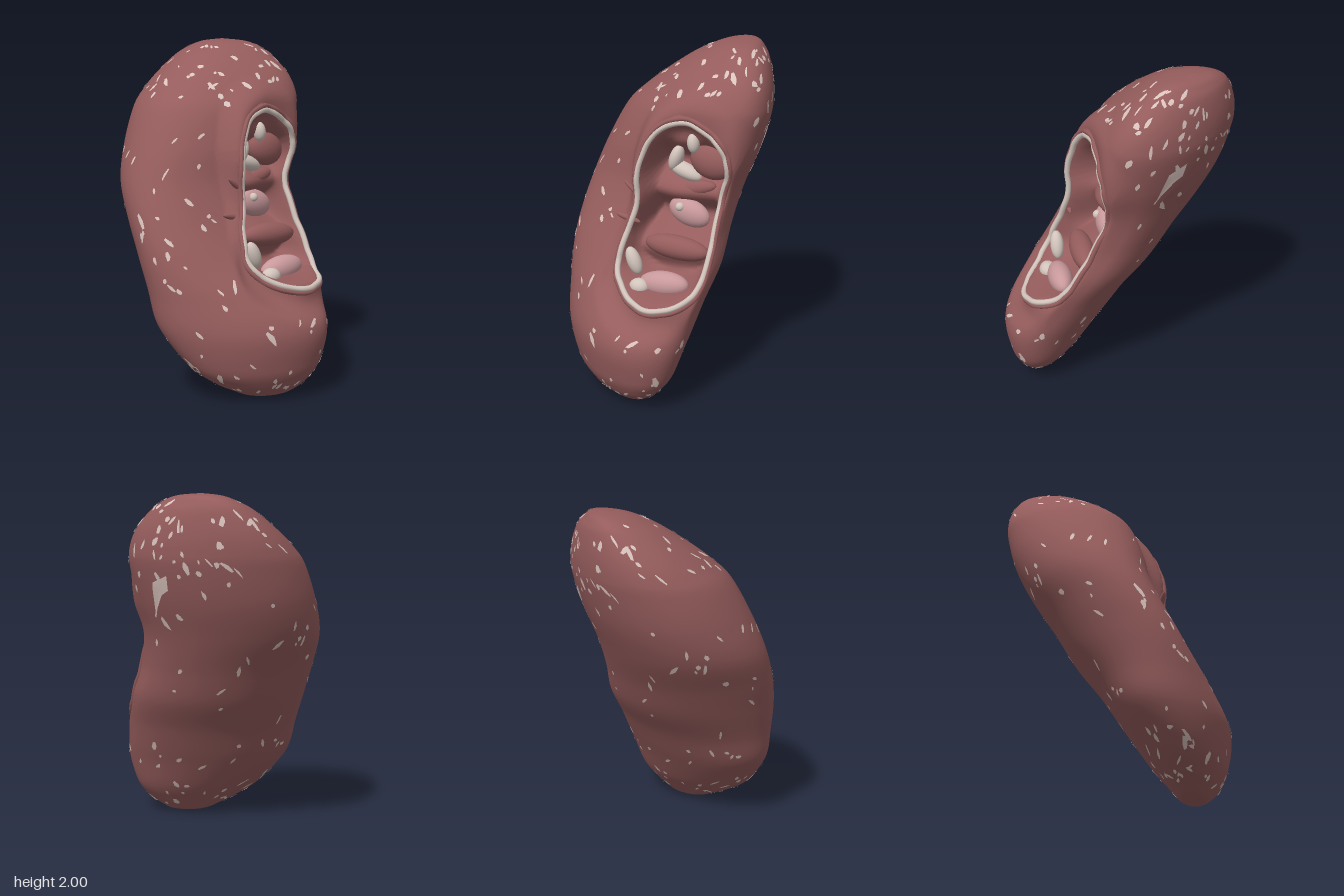
import * as THREE from 'three';

const V = (x, y, z) => new THREE.Vector3(x, y, z);
const mat = (color, side = THREE.FrontSide) => new THREE.MeshStandardMaterial({ color, side, roughness: 0.8 });
const FLESH = mat(0x955c5c), CREAM = mat(0xd2c4bc), PINK = mat(0xc9999c);
const PATCH = mat(0xd9c3bd, THREE.DoubleSide);
const smooth = THREE.MathUtils.smoothstep, lerp = THREE.MathUtils.lerp;

// Horizontal cross-sections: y, x min, x max, z min, z max, skew
const SECTIONS = [
  [0, -.04, -.04, .42, .42, .45], [.015, -.15, .07, .34, .5, .45],
  [.05, -.23, .13, .29, .555, .45], [.1, -.325, .19, .23, .6, .45],
  [.2, -.44, .265, .12, .645, .45], [.4, -.54, .33, -.05, .668, .43],
  [.6, -.565, .375, -.17, .56, .35], [.8, -.58, .42, -.31, .4, .25],
  [1, -.57, .42, -.43, .27, .2], [1.2, -.53, .45, -.56, .2, .2],
  [1.4, -.45, .52, -.64, .19, .2], [1.6, -.345, .575, -.675, .165, .22],
  [1.7, -.25, .58, -.675, .13, .25], [1.8, -.125, .56, -.65, .06, .28],
  [1.9, .02, .515, -.6, -.05, .3], [1.95, .12, .47, -.555, -.12, .3],
  [1.985, .215, .42, -.48, -.22, .3], [2, .33, .33, -.36, -.36, .3]];
const spline = (a, b, c) => new THREE.CatmullRomCurve3(
  SECTIONS.map(s => V(s[a], s[b], s[c])), false, 'catmullrom', 0.5);
const curveX = spline(1, 2, 0), curveZ = spline(3, 4, 5);

// Edge of the opening, counter-clockwise from the top
const rimCurve = new THREE.CatmullRomCurve3([
  V(.18, 1.62, .17), V(.02, 1.55, .2), V(-.07, 1.35, .25), V(-.08, 1.1, .26),
  V(-.13, .9, .32), V(-.14, .75, .38), V(-.05, .65, .47), V(.12, .6, .56),
  V(.28, .62, .53), V(.37, .68, .4), V(.4, .82, .3), V(.4, 1, .2),
  V(.41, 1.2, .12), V(.45, 1.35, .14), V(.42, 1.48, .16), V(.32, 1.57, .16)], true);
const CENTRE = { x: .14, y: 1.1 };
const rimSamples = rimCurve.getSpacedPoints(240).map(p => ({
  a: Math.atan2(p.y - CENTRE.y, p.x - CENTRE.x),
  r: Math.hypot(p.x - CENTRE.x, p.y - CENTRE.y), z: p.z }));

function rimAt(x, y) {
  const a = Math.atan2(y - CENTRE.y, x - CENTRE.x);
  let wr = 0, wz = 0, sum = 0;
  for (const s of rimSamples) {
    let d = Math.abs(s.a - a);
    if (d > Math.PI) d = 2 * Math.PI - d;
    if (d > .08) continue;
    const w = 1 / (d * d + 1e-4);
    wr += s.r * w; wz += s.z * w; sum += w;
  }
  return { ratio: Math.hypot(x - CENTRE.x, y - CENTRE.y) * sum / wr, z: wz / sum };
}

// Floor of the cavity, with folds between the pockets
const openingZ = y => .165 + .4 * Math.max(0, 1.6 - y) ** 4;
const floorZ = (x, y) => openingZ(y) - .14 + .07 * Math.cos(2 * Math.PI * (y - .87) / .31)
  + .02 * Math.sin(x * 14);

// Point on the organ: k runs from bottom to top, t around
function surface(k, t) {
  const a = curveX.getPoint(k), b = curveZ.getPoint(k);
  const c = Math.cos(t), s = Math.sin(t);
  const bow = .25 * smooth(a.z, .4, .9);
  const depth = b.z * c + bow * c * c + (Math.sqrt(1 - b.z * b.z) - .1 * bow) * s;
  const p = V((a.x + a.y) / 2 + (a.y - a.x) / 2 * c, a.z, (b.x + b.y) / 2 + (b.y - b.x) / 2 * depth);
  p.ratio = 9;
  if (s <= 0 || p.y < .3 || p.y > 1.85) return p;
  const rim = rimAt(p.x, p.y);
  p.ratio = rim.ratio;
  if (rim.ratio >= 1) {
    p.z = lerp(p.z, rim.z, (1 - smooth(rim.ratio, 1.02, 1.35)) * smooth(s, 0, .25));
  } else {
    p.z = lerp(rim.z, floorZ(p.x, p.y), smooth(1 - rim.ratio, .03, .26));
  }
  return p;
}

function buildGeometry(pos, index) {
  const g = new THREE.BufferGeometry();
  g.setAttribute('position', new THREE.Float32BufferAttribute(pos, 3));
  g.setIndex(index);
  g.computeVertexNormals();
  return g;
}

function bodyGeometry(rows = 180, cols = 200) {
  const pos = [], index = [];
  for (let i = 0; i <= rows; i++) {
    for (let j = 0; j < cols; j++) {
      pos.push(...surface(i / rows, j / cols * 2 * Math.PI).toArray());
      if (i === rows) continue;
      const a = i * cols + j, b = i * cols + (j + 1) % cols;
      index.push(a, a + cols, b, b, a + cols, b + cols);
    }
  }
  return buildGeometry(pos, index);
}

// Pale flecks: small irregular patches laid on the surface
function fleckGeometry() {
  let seed = 7;
  const rnd = () => (seed = seed * 16807 % 2147483647) / 2147483647;
  const pos = [], index = [];
  const fleck = (k, t, outline) => {
    const o = surface(k, t), e = .004;
    const dk = surface(k + e, t).sub(o), dt = surface(k, t + e).sub(o);
    const n = dk.clone().cross(dt).normalize();
    const base = pos.length / 3, m = outline.length;
    const put = (u, v) => {
      const q = surface(THREE.MathUtils.clamp(k + v * e / dk.length(), 0, 1), t + u * e / dt.length());
      pos.push(...q.addScaledVector(n, .004).toArray());
    };
    put(0, 0);
    outline.forEach(([u, v], i) => {
      put(u, v);
      index.push(base, base + 1 + (i + 1) % m, base + 1 + i);
    });
  };
  for (let i = 0; i < 250; i++) {
    const k = .14 + .76 * rnd(), t = rnd() * 2 * Math.PI;
    if (surface(k, t).ratio < 1.25) continue;
    const len = .014 + .035 * rnd() ** 2, wid = .007 + .011 * rnd(), turn = (rnd() - .5) * 1.6;
    const outline = [];
    for (let j = 0; j < 6; j++) {
      const a = j / 6 * 2 * Math.PI, f = .65 + .6 * rnd();
      const u = wid * f * Math.cos(a), v = len * f * Math.sin(a);
      outline.push([u * Math.cos(turn) - v * Math.sin(turn), u * Math.sin(turn) + v * Math.cos(turn)]);
    }
    fleck(k, t, outline);
  }
  // One large kite-shaped patch with a tail on the left side
  fleck(.615, -.4, [[-.06, .07], [-.05, -.02], [0, -.05], [.1, -.19], [.09, -.2], [.06, -.02], [.05, .02]]);
  return buildGeometry(pos, index);
}

export function createModel() {
  const group = new THREE.Group();
  const add = (name, geometry, material) => {
    const m = new THREE.Mesh(geometry, material);
    m.name = name;
    group.add(m);
    return m;
  };
  const blob = (name, material, [x, y, z], [a, b, c], tilt = 0) => {
    const m = add(name, new THREE.SphereGeometry(1, 24, 16), material);
    m.position.set(x, y, z);
    m.scale.set(a, b, c);
    m.rotation.z = tilt;
  };

  add('body', bodyGeometry(), FLESH);
  add('flecks', fleckGeometry(), PATCH);

  // Fleshy lip and the pale band inside it
  const ring = f => new THREE.CatmullRomCurve3(rimCurve.getPoints(48).slice(0, -1).map((p, i) => V(
    CENTRE.x + (p.x - CENTRE.x) * f, CENTRE.y + (p.y - CENTRE.y) * f, p.z + .004 * Math.sin(i * 2.1))), true);
  add('lip', new THREE.TubeGeometry(ring(1.01), 160, .015, 8, true), FLESH);
  add('paleRim', new THREE.TubeGeometry(ring(.965), 160, .017, 8, true), CREAM);

  // Pockets and ducts inside the opening
  blob('lowerPocket', PINK, [.15, .7, .35], [.155, .075, .07], .08);
  blob('middlePocket', PINK, [.18, 1.05, .08], [.13, .08, .06], -.3);
  blob('upperPocket', CREAM, [.14, 1.29, .06], [.11, .045, .05], -.35);
  blob('upperDuct', CREAM, [.09, 1.36, .07], [.04, .08, .05], -.3);
  blob('topDuct', CREAM, [.21, 1.47, .1], [.035, .058, .04], .1);
  blob('middleDuct', CREAM, [.14, 1.09, .125], [.026, .026, .026]);
  blob('lowerDuct', CREAM, [-.05, .8, .33], [.042, .085, .04], .4);
  blob('lowerDuctEnd', CREAM, [.02, .68, .4], [.06, .048, .05]);
  blob('innerFold', FLESH, [.3, 1.36, .05], [.13, .1, .07], -.3);
  blob('innerFold', FLESH, [.18, 1.19, .06], [.16, .05, .05], .2);
  blob('innerFold', FLESH, [.17, .88, .22], [.2, .07, .07], -.05);

  // Creases pulling at the lip
  blob('crease', FLESH, [-.13, 1.02, .245], [.08, .018, .018], -.2);
  blob('crease', FLESH, [-.11, 1.2, .235], [.06, .014, .016], -.7);
  blob('crease', FLESH, [.12, 1.625, .16], [.07, .016, .02], .25);
  return group;
}
